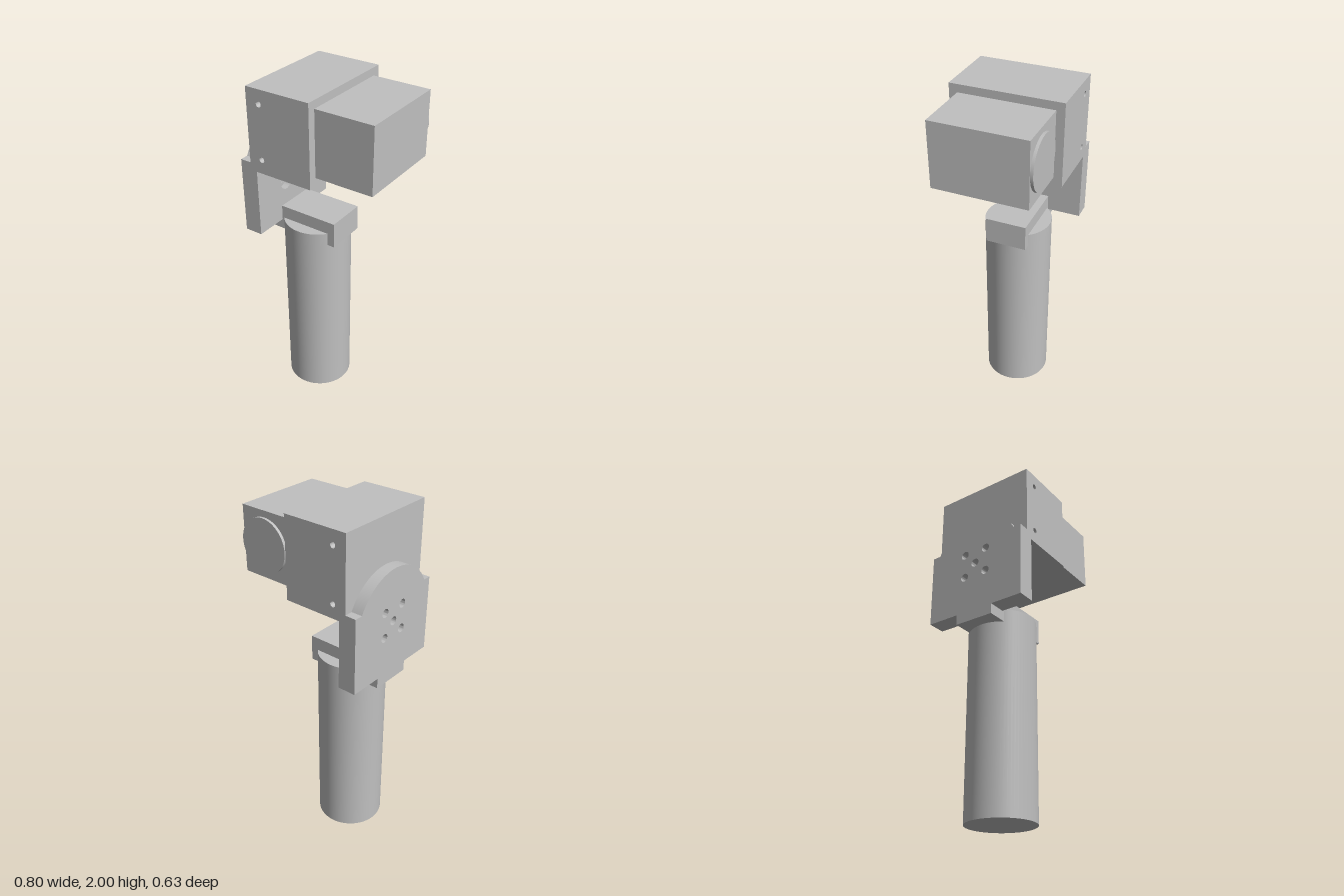
import * as THREE from 'three';
import { toCreasedNormals } from 'three/addons/utils/BufferGeometryUtils.js';

export function createModel() {
  const group = new THREE.Group();
  const grey = new THREE.MeshStandardMaterial({ color: 0xc0c0c0 });
  grey.name = 'grey';

  const add = (name, geometry) => {
    const mesh = new THREE.Mesh(geometry, grey);
    mesh.name = name;
    group.add(mesh);
    return mesh;
  };
  // Box from its lower and upper limits
  const box = (name, x0, x1, y0, y1, z) =>
    add(name, new THREE.BoxGeometry(x1 - x0, y1 - y0, 2 * z))
      .position.set((x0 + x1) / 2, (y0 + y1) / 2, 0);
  const extrude = (shape, depth) => toCreasedNormals(
    new THREE.ExtrudeGeometry(shape, { depth, bevelEnabled: false, curveSegments: 24 }), 0.5);
  // Side profile (z, y) extruded along x
  const alongX = (name, shape, x0, x1) =>
    add(name, extrude(shape, x1 - x0).rotateY(Math.PI / 2).translate(x0, 0, 0));
  const hole = (shape, x, y, r) =>
    shape.holes.push(new THREE.Path().absarc(x, y, r, 0, Math.PI * 2, true));

  const W = 0.315;           // half width of plate and housing
  const boltZ = 0.073, boltLow = 1.363, boltHigh = 1.51, pivotY = 1.437;
  const boltR = 0.025, boreR = 0.046;
  const baseY = 1.53;        // underside of the housing
  const cut = Math.asin((baseY - boltHigh) / boreR);
  const cutW = boreR * Math.cos(cut);

  // Upright cylinder and the cross bracket let into its top
  add('postCylinder', toCreasedNormals(new THREE.CylinderGeometry(0.194, 0.194, 1.15, 64), 0.5))
    .position.set(-0.13, 0.575, 0);
  box('crossBracket', -0.4, 0.065, 1.075, 1.225, 0.12);

  // Outer plate with rounded head and bolt holes
  const shoulderY = 1.575, headR = 0.3;
  const a = Math.asin((shoulderY - pivotY) / headR);
  const outer = new THREE.Shape();
  outer.moveTo(-W, 1.135);
  outer.lineTo(W, 1.135);
  outer.lineTo(W, shoulderY);
  outer.lineTo(headR * Math.cos(a), shoulderY);
  outer.absarc(0, pivotY, headR, a, Math.PI - a, false);
  outer.lineTo(-W, shoulderY);
  outer.closePath();
  hole(outer, 0, pivotY, boltR);
  for (const z of [-boltZ, boltZ]) for (const y of [boltLow, boltHigh]) hole(outer, z, y, boltR);
  alongX('outerPlate', outer, -0.4, -0.335);

  // Inner plate layer with counterbores, the upper pair open at the top
  const inner = new THREE.Shape();
  inner.moveTo(-W, 1.135);
  inner.lineTo(W, 1.135);
  inner.lineTo(W, baseY);
  for (const z of [boltZ, -boltZ]) {
    inner.lineTo(z + cutW, baseY);
    inner.absarc(z, boltHigh, boreR, cut, Math.PI - cut, true);
  }
  inner.lineTo(-W, baseY);
  inner.closePath();
  hole(inner, 0, pivotY, boltR);
  for (const z of [-boltZ, boltZ]) hole(inner, z, boltLow, boreR);
  alongX('innerPlate', inner, -0.335, -0.295);

  // Housing floor with two tool grooves
  const splitY = 1.575;
  const floor = new THREE.Shape();
  floor.moveTo(-W, baseY);
  for (const z of [-boltZ, boltZ]) {
    floor.lineTo(z - cutW, baseY);
    floor.absarc(z, boltHigh, boreR, Math.PI - cut, cut, true);
  }
  floor.lineTo(W, baseY);
  floor.lineTo(W, splitY);
  floor.lineTo(-W, splitY);
  floor.closePath();
  alongX('housingFloor', floor, -0.335, 0.055);

  // Housing body with two pin holes from front to back
  const body = new THREE.Shape();
  body.moveTo(-0.335, splitY);
  body.lineTo(0.055, splitY);
  body.lineTo(0.055, 2);
  body.lineTo(-0.335, 2);
  body.closePath();
  for (const y of [1.61, 1.92]) hole(body, -0.255, y, 0.016);
  add('housingBody', extrude(body, 2 * W).translate(0, 0, -W));

  // Side block with a round cap on its back
  box('sideBlock', 0.055, 0.396, 1.58, 1.955, 0.268);
  add('backCap', toCreasedNormals(new THREE.CylinderGeometry(0.151, 0.151, 0.024, 64), 0.5)
    .rotateX(Math.PI / 2)).position.set(0.242, 1.768, -0.272);

  return group;
}
